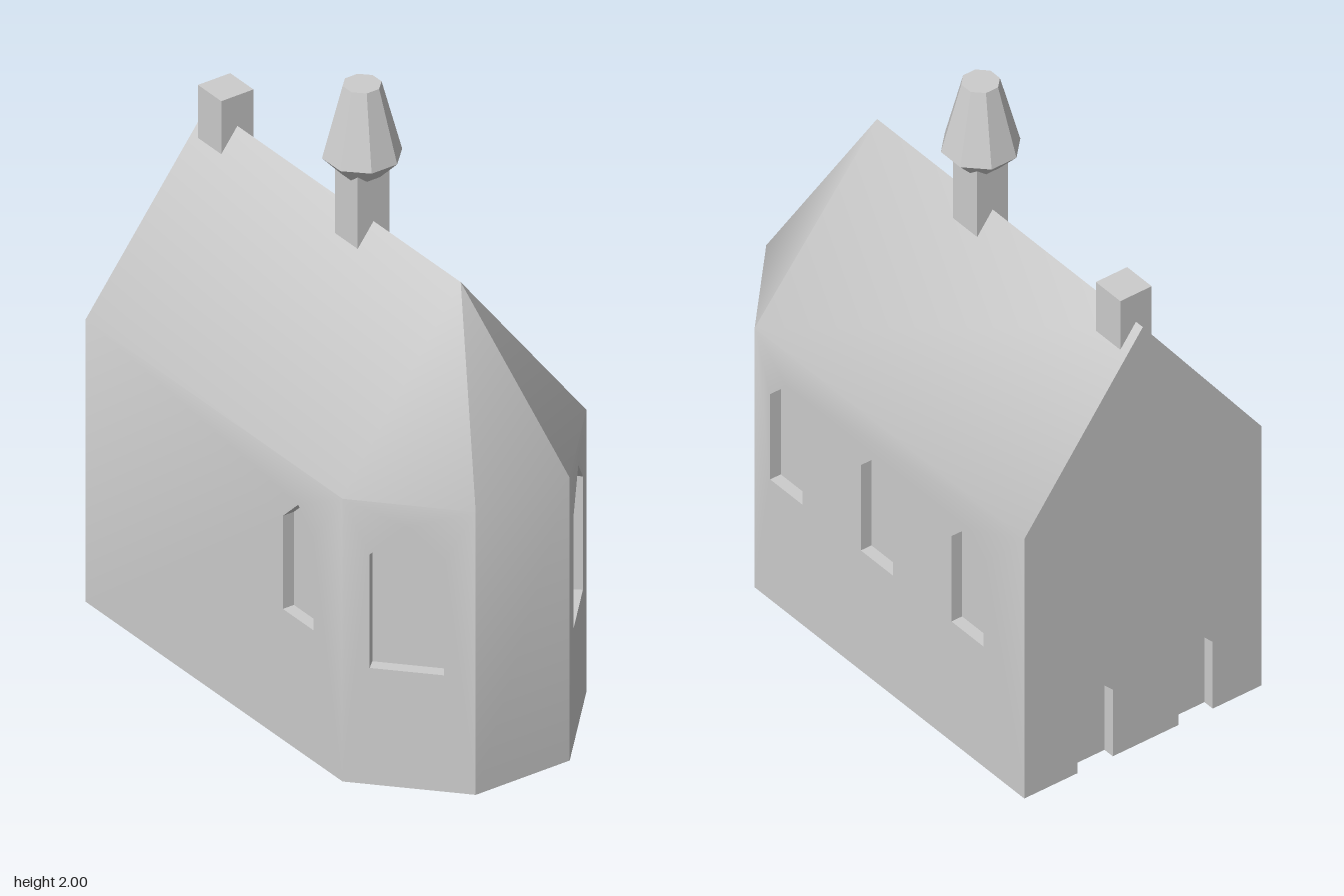
import * as THREE from 'three';
import { toCreasedNormals } from 'three/addons/utils/BufferGeometryUtils.js';

const CREASE = 0.7; // 40 degrees: eaves stay soft, corners sharp
const EAVE = 0.972, RIDGE = 1.555, DEPTH = 0.04;
const BACK = -0.798, SHOULDER = 0.502, APSE = 0.797, HIP = 0.483;
const HALF = 0.446, NOSE = 0.172;

// pointed opening, counter-clockwise: bottom left, bottom right, right spring, apex, left spring
const arch = (u0, u1, y0, y1, y2) => [[u0, y0], [u1, y0], [u1, y1], [(u0 + u1) / 2, y2], [u0, y1]];

function createBody() {
  const pos = [];
  const tri = (...pts) => pts.forEach((p) => pos.push(...p));
  const quad = (a, b, c, d) => { tri(a, b, c); tri(a, c, d); };

  // fill a flat outline with holes, placed in space by map(u, v)
  const fill = (outline, holes, map) => {
    const toV = (list) => list.map(([u, v]) => new THREE.Vector2(u, v));
    const all = [outline, ...holes].flat();
    for (const f of THREE.ShapeUtils.triangulateShape(toV(outline), holes.map(toV))) {
      tri(...f.map((i) => map(...all[i])));
    }
  };

  // wall plane from a to b ([x, z], left to right seen from outside)
  const plane = (a, b) => {
    const len = Math.hypot(b[0] - a[0], b[1] - a[1]);
    const ux = (b[0] - a[0]) / len, uz = (b[1] - a[1]) / len;
    const map = (u, v, d = 0) => [a[0] + ux * u + uz * d, v, a[1] + uz * u - ux * d];
    return { len, map };
  };

  // side faces and back of a recess; an open one has no sill
  const recess = (hole, map, open) => {
    hole.forEach((p, i) => {
      if (open && i === 0) return;
      const q = hole[(i + 1) % hole.length];
      quad(map(...p), map(...q), map(...q, DEPTH), map(...p, DEPTH));
    });
    fill(hole, [], (u, v) => map(u, v, DEPTH));
  };

  const wall = (a, b, holes) => {
    const { len, map } = plane(a, b);
    fill([[0, 0], [len, 0], [len, EAVE], [0, EAVE]], holes, map);
    holes.forEach((h) => recess(h, map, false));
  };

  // long walls and apse walls
  const sideWindow = (u) => arch(u, u + 0.155, 0.45, 0.77, 0.845);
  wall([BACK, HALF], [SHOULDER, HALF], [sideWindow(0.998)]);
  wall([SHOULDER, HALF], [APSE, NOSE], [arch(0.082, 0.307, 0.4, 0.79, 0.895)]);
  wall([APSE, NOSE], [APSE, -NOSE], []);
  wall([APSE, -NOSE], [SHOULDER, -HALF], [arch(0.096, 0.321, 0.4, 0.79, 0.895)]);
  wall([SHOULDER, -HALF], [BACK, -HALF], [0.075, 0.512, 0.949].map(sideWindow));

  // gable wall with two doorways open at the floor
  const doors = [[-0.245, -0.113], [0.135, 0.263]].map(([u0, u1]) => arch(u0, u1, 0, 0.25, 0.315));
  const gable = (u, v, d = 0) => [BACK + d, v, u];
  const doorCuts = doors.flatMap(([bl, br, sr, top, sl]) => [bl, sl, top, sr, br]);
  fill([[-HALF, 0], ...doorCuts, [HALF, 0], [HALF, EAVE], [0, RIDGE], [-HALF, EAVE]], [], gable);
  doors.forEach((d) => recess(d, gable, true));

  // underside, notched at the doorways
  const notches = [...doors].reverse().flatMap(([bl, br]) => [
    [BACK, br[0]], [BACK + DEPTH, br[0]], [BACK + DEPTH, bl[0]], [BACK, bl[0]],
  ]);
  fill([[BACK, -HALF], [SHOULDER, -HALF], [APSE, -NOSE], [APSE, NOSE],
    [SHOULDER, HALF], [BACK, HALF], ...notches], [], (x, z) => [x, 0, z]);

  // roof slopes and hipped end
  const r0 = [BACK, RIDGE, 0], r1 = [HIP, RIDGE, 0];
  const e = (x, z) => [x, EAVE, z];
  quad(e(BACK, HALF), e(SHOULDER, HALF), r1, r0);
  quad(e(SHOULDER, -HALF), e(BACK, -HALF), r0, r1);
  tri(e(SHOULDER, HALF), e(APSE, NOSE), r1);
  tri(e(APSE, NOSE), e(APSE, -NOSE), r1);
  tri(e(APSE, -NOSE), e(SHOULDER, -HALF), r1);

  const geo = new THREE.BufferGeometry();
  geo.setAttribute('position', new THREE.Float32BufferAttribute(pos, 3));
  return toCreasedNormals(geo, CREASE);
}

export function createModel() {
  const model = new THREE.Group();
  model.name = 'chapel';
  const stone = new THREE.MeshStandardMaterial({ color: 0xcccccc });
  stone.name = 'light grey stone';

  const add = (name, geo, x = 0, y = 0) => {
    const mesh = new THREE.Mesh(geo, stone);
    mesh.name = name;
    mesh.position.set(x, y, 0);
    model.add(mesh);
  };
  const post = (name, x, y0, y1, w) =>
    add(name, new THREE.BoxGeometry(w, y1 - y0, w), x, (y0 + y1) / 2);
  // octagonal taper sized by its flats
  const octagon = (name, x, y0, y1, bottom, top) => {
    const k = 1 / Math.cos(Math.PI / 8);
    const geo = new THREE.CylinderGeometry(top * k, bottom * k, y1 - y0, 8).rotateY(Math.PI / 8);
    add(name, toCreasedNormals(geo, CREASE), x, (y0 + y1) / 2);
  };

  add('body', createBody());
  post('chimney', -0.706, 1.42, 1.66, 0.118);
  post('turretShaft', -0.016, 1.42, 1.745, 0.116);
  octagon('turretCollar', -0.016, 1.697, 1.76, 0.057, 0.113);
  octagon('turretCap', -0.016, 1.76, 2.0, 0.113, 0.055);
  return model;
}
